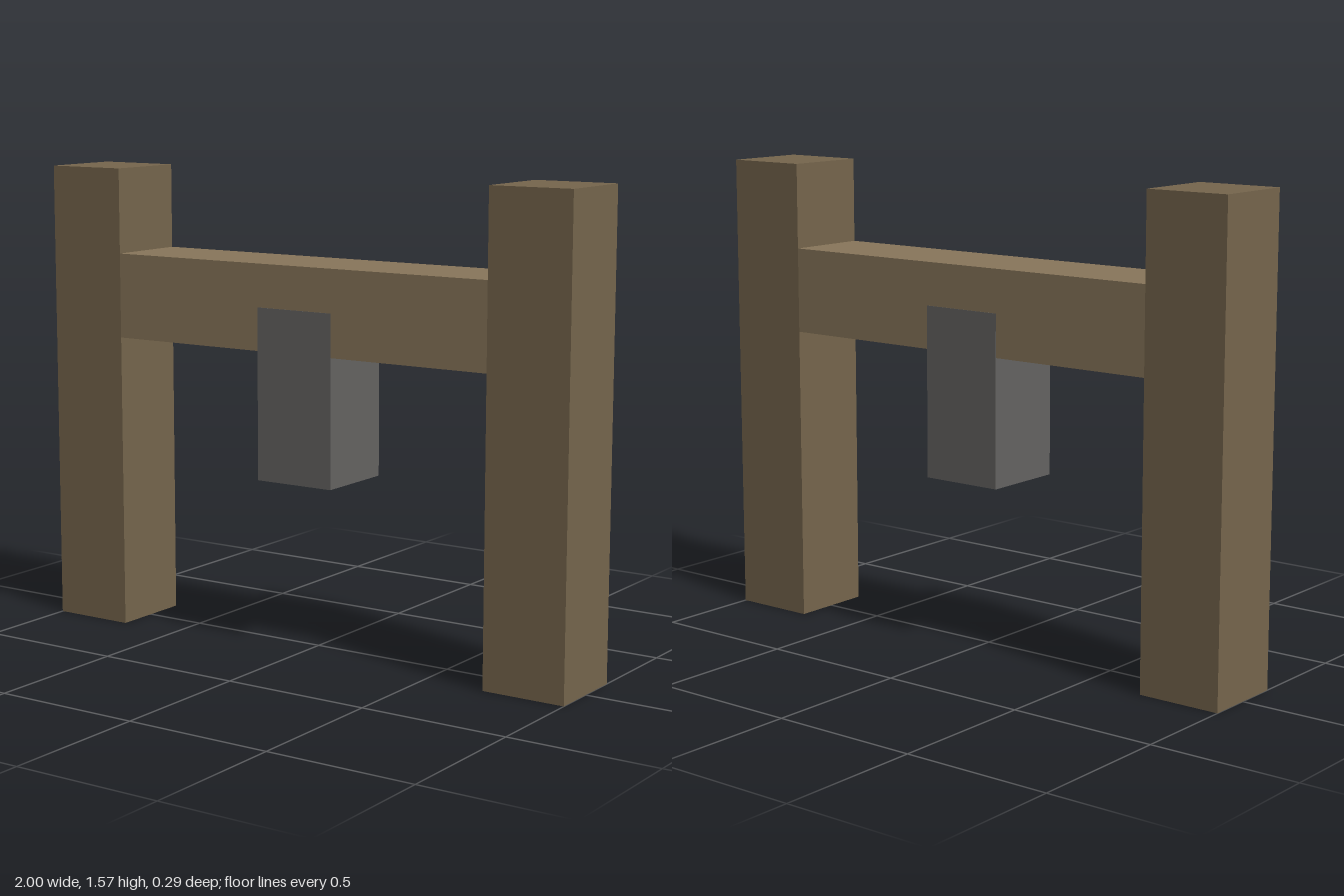
import * as THREE from 'three';

const U = 1 / 7; // half the timber thickness

export function createModel() {
  const model = new THREE.Group();
  const postWood = new THREE.MeshStandardMaterial({ color: 0x75654c, flatShading: true });
  const beamWood = new THREE.MeshStandardMaterial({ color: 0x88765a, flatShading: true });
  const metal = new THREE.MeshStandardMaterial({ color: 0x646361, flatShading: true });

  // Box standing on height y
  function block(name, material, width, height, depth, x, y) {
    const mesh = new THREE.Mesh(new THREE.BoxGeometry(width, height, depth), material);
    mesh.name = name;
    mesh.position.set(x, y + height / 2, 0);
    model.add(mesh);
  }

  // Upright posts
  for (const side of [-1, 1]) {
    block(side > 0 ? 'leftPost' : 'rightPost', postWood, 2 * U, 11 * U, 2 * U, side * 6 * U, 0);
  }

  // Crossbeam between the posts
  block('crossbeam', beamWood, 10 * U, 2 * U, 2 * U, 0, 7 * U);

  // Hanging block, a hair deeper than the beam so its faces show over it
  block('hangingBlock', metal, 2 * U, 4 * U, 2 * U + 0.002, 0, 4 * U);

  return model;
}
